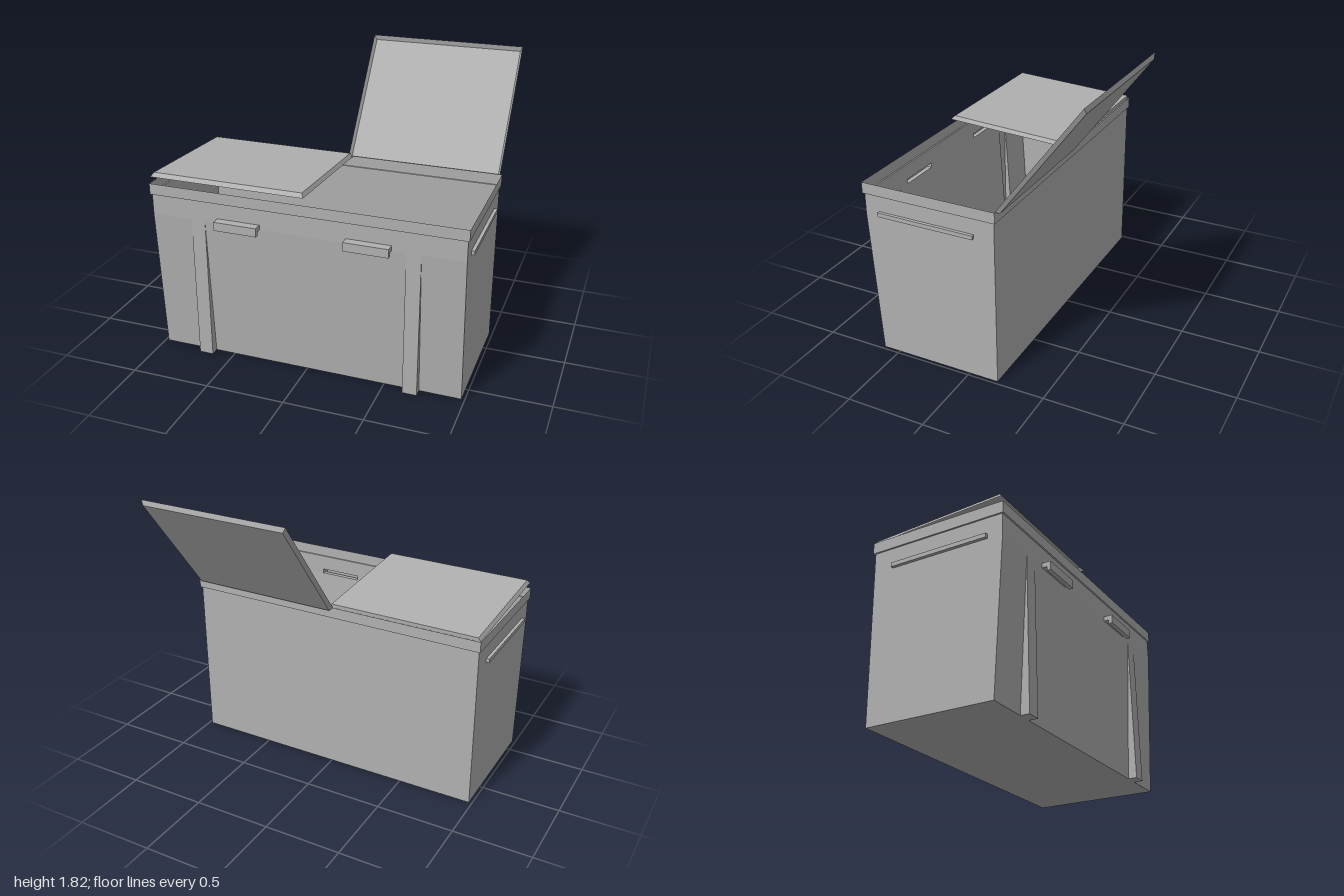
import * as THREE from 'three';

const grey = new THREE.MeshStandardMaterial({ color: 0xb0b0b0, side: THREE.DoubleSide });
grey.name = 'plain grey';

function add(parent, name, geometry) {
  const mesh = new THREE.Mesh(geometry, grey);
  mesh.name = name;
  parent.add(mesh);
  return mesh;
}

// Flat polygons (counter-clockwise from outside), each fanned into triangles
function sheet(polygons) {
  const pos = [];
  for (const p of polygons)
    for (let i = 1; i < p.length - 1; i++) pos.push(...p[0], ...p[i], ...p[i + 1]);
  const g = new THREE.BufferGeometry();
  g.setAttribute('position', new THREE.Float32BufferAttribute(pos, 3));
  g.computeVertexNormals();
  return g;
}

// Walls joining two loops of equal length, the lower one first
function band(low, high) {
  return low.map((a, i) => {
    const j = (i + 1) % low.length;
    return [a, low[j], high[j], high[i]];
  });
}

// Rectangular loop at height y, counter-clockwise seen from above
const loop = (x, back, front, y) => [[-x, y, front], [x, y, front], [x, y, back], [-x, y, back]];

const W = 0.98, BACK = -0.19, FRONT = 0.665, FOOT = 0.61, SLOPE = 0.93, TOP = 1.06;
const POST = [0.63, 0.72], GRIP = [0.27, 0.545], GRIP_TOP = 0.96;

const frontRect = (x0, x1, y0, y1, z0 = FRONT, z1 = FRONT) =>
  [[x0, y0, z0], [x1, y0, z0], [x1, y1, z1], [x0, y1, z1]];

// Shallow tray with flared front and sides, hinged along its local x axis
function makeLid(name, x, y, z, angle) {
  const low = loop(0.4975, 0, 0.857, 0), high = loop(0.4825, 0, 0.835, 0.025);
  const lid = add(group, name, sheet([...band(low, high), high]));
  lid.position.set(x, y, z);
  lid.rotation.x = angle;
}

let group;

export function createModel() {
  group = new THREE.Group();
  group.name = 'storageBin';

  // Back, sides and floor of the open shell
  const side = [[W, 0, FOOT], [W, 0, BACK], [W, TOP, BACK], [W, TOP, FRONT], [W, SLOPE, FRONT]];
  const mirrored = side.map(([x, y, z]) => [-x, y, z]).reverse();
  add(group, 'bodyShell', sheet([
    side, mirrored,
    [[W, 0, BACK], [-W, 0, BACK], [-W, TOP, BACK], [W, TOP, BACK]],
    [[-W, 0, BACK], [W, 0, BACK], [W, 0, FOOT], [-W, 0, FOOT]],
  ]));

  // Front wall: upright top with grip slots, sloping lower panels
  const front = [frontRect(-W, W, GRIP_TOP, TOP)];
  for (const [a, b] of [[-W, -GRIP[1]], [-GRIP[0], GRIP[0]], [GRIP[1], W]])
    front.push(frontRect(a, b, SLOPE, GRIP_TOP));
  for (const [a, b] of [[-W, -POST[1]], [-POST[0], POST[0]], [POST[1], W]])
    front.push(frontRect(a, b, 0, SLOPE, FOOT, FRONT));
  add(group, 'frontWall', sheet(front));

  // Hollow upright posts that fill out the slope
  for (const [name, a, b] of [['rightPost', -POST[1], -POST[0]], ['leftPost', POST[0], POST[1]]])
    add(group, name, sheet([
      frontRect(a, b, 0, SLOPE),
      [[a, 0, FOOT], [a, 0, FRONT], [a, SLOPE, FRONT]],
      [[b, 0, FRONT], [b, 0, FOOT], [b, SLOPE, FRONT]],
      [[a, 0, FOOT], [b, 0, FOOT], [b, 0, FRONT], [a, 0, FRONT]],
    ]));

  // Rim: ledge stepping outward, then a thin upright wall
  const inner = loop(W, BACK, FRONT, TOP);
  const outer = loop(0.99, -0.2, 0.675, TOP);
  const lip = loop(0.99, -0.2, 0.675, 1.13);
  add(group, 'rim', sheet([...band(inner, outer), ...band(outer, lip)]));

  // Hooked front grips, open at the back
  const hook = [[FRONT, SLOPE], [0.695, SLOPE], [0.695, 0.905], [0.72, 0.905], [0.72, GRIP_TOP], [FRONT, GRIP_TOP]];
  for (const [name, a, b] of [['rightGrip', -GRIP[1], -GRIP[0]], ['leftGrip', GRIP[0], GRIP[1]]]) {
    const faces = [];
    for (let i = 0; i < hook.length - 1; i++) {
      const [z0, y0] = hook[i], [z1, y1] = hook[i + 1];
      faces.push([[a, y0, z0], [b, y0, z0], [b, y1, z1], [a, y1, z1]]);
    }
    // End caps split into the top bar and the hanging lip
    for (const x of [a, b])
      for (const [z0, z1, y0, y1] of [[FRONT, 0.72, SLOPE, GRIP_TOP], [0.695, 0.72, 0.905, SLOPE]]) {
        const cap = [[x, y0, z1], [x, y0, z0], [x, y1, z0], [x, y1, z1]];
        faces.push(x === b ? cap : cap.reverse());
      }
    add(group, name, sheet(faces));
  }

  // Side rails
  for (const s of [-1, 1])
    add(group, s < 0 ? 'rightRail' : 'leftRail', new THREE.BoxGeometry(0.02, 0.026, 0.63))
      .position.set(s * 0.99, 0.945, 0.255);

  // One lid nearly closed, one thrown back
  makeLid('closedLid', -0.4875, 1.125, BACK, -0.053);
  makeLid('openLid', 0.48, 1.13, -0.198, -2.213);

  return group;
}
